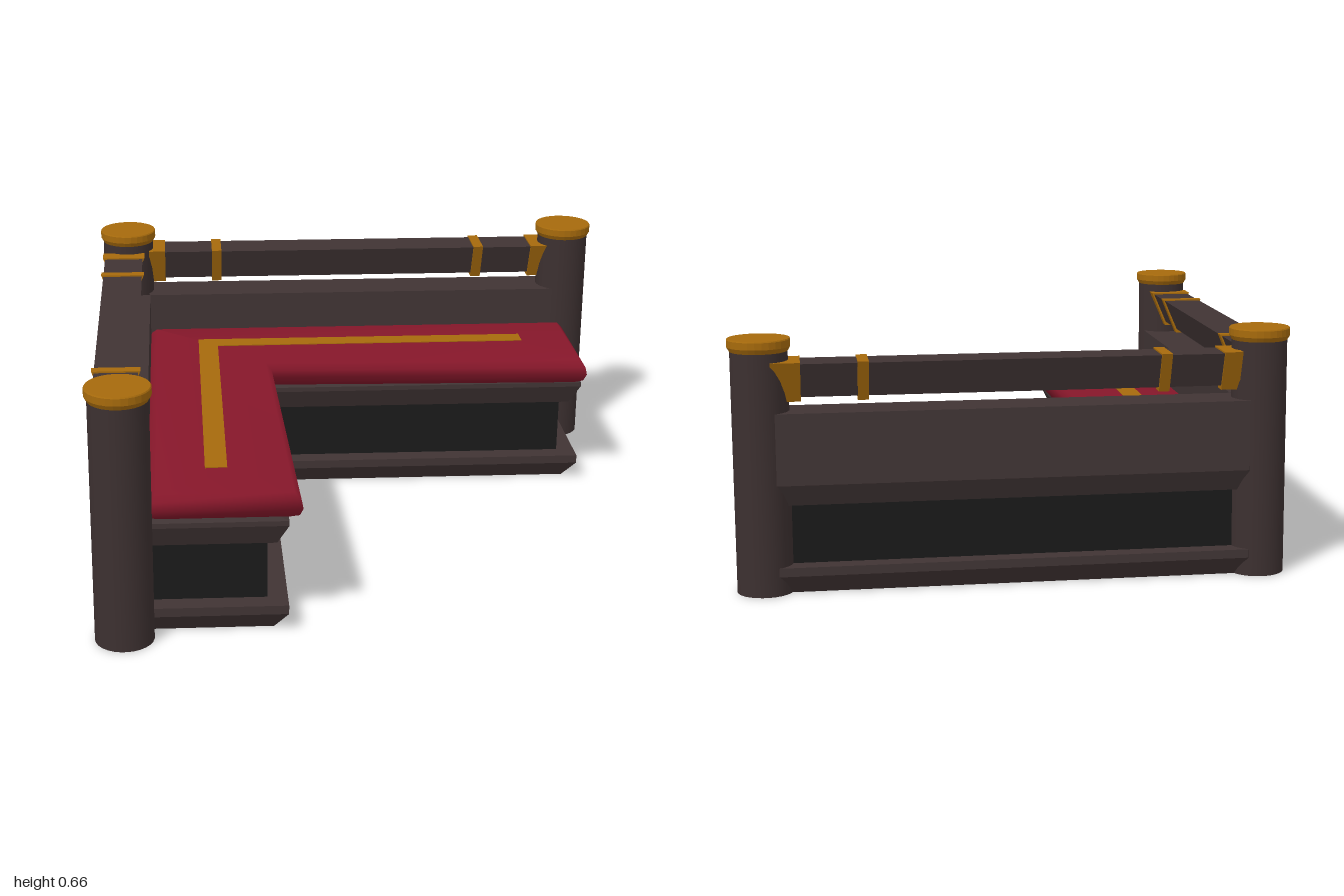
import * as THREE from 'three';

const mat = (color, flatShading = true) =>
  new THREE.MeshStandardMaterial({ color, flatShading, side: THREE.DoubleSide });
const BROWN = mat(0x403434), DARK = mat(0x1a1a1a), GOLD = mat(0xa66a0c);
const RED = mat(0x86172a, false), POST = mat(0x3c3030, false);
const CORNER_Z = -0.575;

function add(parent, name, geometry, material) {
  const mesh = new THREE.Mesh(geometry, material);
  mesh.name = name;
  parent.add(mesh);
  return mesh;
}

function indexed(positions, index) {
  const g = new THREE.BufferGeometry();
  g.setAttribute('position', new THREE.Float32BufferAttribute(positions, 3));
  g.setIndex(index);
  g.computeVertexNormals();
  return g;
}

// Stacks L-shaped outlines; each ring is [inset, height].
// cut trims the outer corner, flare widens the arm ends, capped closes the top.
function loftL({ back, end, front, cut = 0, flare = 0, capped = false }, rings) {
  const pos = [], idx = [], n = 7;
  for (const [d, y] of rings) {
    const b = back + d, e = end - d, f = front - d, tip = f + flare;
    const k = Math.max(b, back + cut + 0.414 * d);
    for (const [u, v] of [[k, b], [e, b], [e, tip], [f, f], [tip, e], [b, e], [b, k]]) pos.push(u, y, v);
  }
  for (let r = 0; r < rings.length - 1; r++) {
    for (let i = 0; i < n; i++) {
      const a = r * n + i, c = r * n + (i + 1) % n;
      idx.push(c, a, a + n, c, a + n, c + n);
    }
  }
  if (capped) {
    const t = (rings.length - 1) * n;
    for (const i of [0, 3, 2, 0, 2, 1, 0, 6, 3, 6, 5, 4, 6, 4, 3]) idx.push(t + i);
  }
  return indexed(pos, idx);
}

// Convex profile of [across, height] run along x; start 'mitre' meets the mirrored
// arm on the diagonal and trims what would stick out behind the corner post
function prism(profile, start, end) {
  const n = profile.length, pos = [], idx = [];
  for (const [v, y] of profile) pos.push(start === 'mitre' ? Math.max(v, -0.028 - v) : start, y, v);
  for (const [v, y] of profile) pos.push(end, y, v);
  for (let i = 0; i < n; i++) {
    const j = (i + 1) % n;
    idx.push(i, n + i, n + j, i, n + j, j);
    if (i > 0 && i < n - 1) idx.push(0, i, i + 1, n, n + i + 1, n + i);
  }
  return indexed(pos, idx);
}

function addPost(parent, x, z) {
  const post = new THREE.Group();
  post.name = 'post';
  post.position.set(x, 0, z);
  add(post, 'postShaft', new THREE.CylinderGeometry(0.073, 0.073, 0.63, 28), POST).position.y = 0.315;
  const profile = [[0, 0.625], [0.073, 0.625], [0.08, 0.637], [0.08, 0.655], [0.078, 0.658], [0, 0.658]]
    .map(([r, y]) => new THREE.Vector2(r, y));
  add(post, 'postCap', new THREE.LatheGeometry(profile, 28), GOLD);
  parent.add(post);
}

// Parts of one bench arm, running along local x from the corner
function createArm() {
  const arm = new THREE.Group();
  add(arm, 'backPanel', prism([[-0.065, 0.287], [0.062, 0.287], [0.062, 0.472], [-0.065, 0.472]], 'mitre', 1.29), BROWN);
  add(arm, 'backRail', prism([[-0.028, 0.508], [0.003, 0.508], [0.042, 0.598], [-0.067, 0.598]], 0.06, 1.28), BROWN);
  const band = [[-0.03, 0.497], [0.005, 0.497], [0.048, 0.602], [-0.073, 0.602]];
  for (const u of [0.26, 1.038]) add(arm, 'railStrap', prism(band, u - 0.014, u + 0.014), GOLD);
  add(arm, 'innerBracket', prism(band, 0.06, 0.108), GOLD);
  add(arm, 'outerBracket', prism(band, 1.195, 1.27), GOLD);
  add(arm, 'cushionStripe', prism([[0.201, 0.37], [0.256, 0.37], [0.256, 0.38], [0.201, 0.38]], 'mitre', 1.14), GOLD);
  arm.rotation.y = -Math.PI / 4;
  arm.position.z = CORNER_Z;
  return arm;
}

export function createModel() {
  const model = new THREE.Group();
  model.name = 'cornerBench';

  // L-shaped base, open underneath
  const seat = new THREE.Group();
  seat.name = 'seat';
  seat.rotation.y = -Math.PI / 4;
  seat.position.z = CORNER_Z;
  model.add(seat);
  const outline = { back: -0.065, end: 1.29, front: 0.4, cut: 0.102 };
  const base = (name, rings, material) => add(seat, name, loftL(outline, rings), material);
  base('plinth', [[0.035, 0], [0, 0.05], [0, 0.073], [0.05, 0.073]], BROWN);
  base('body', [[0.05, 0.073], [0.05, 0.23]], DARK);
  base('seatMoulding', [[0.05, 0.23], [0.028, 0.23], [0, 0.287], [0, 0.3], [0.03, 0.305]], BROWN);

  // Softly crowned cushion
  add(seat, 'cushion', loftL({ back: 0.06, end: 1.298, front: 0.408, flare: 0.025, capped: true },
    [[0.03, 0.302], [0.008, 0.315], [0, 0.335], [0.004, 0.355], [0.02, 0.371], [0.16, 0.378]]), RED);

  // Diagonal floor brace under the corner
  const brace = add(model, 'cornerBrace', prism([[-0.035, 0], [0.035, 0], [0, 0.05]], -0.53, -0.012), BROWN);
  brace.rotation.y = -Math.PI / 2;

  // Mirrored arms and posts
  for (const side of [1, -1]) {
    const half = new THREE.Group();
    half.name = side > 0 ? 'leftArm' : 'rightArm';
    half.scale.x = side;
    half.add(createArm());
    addPost(half, 0.918, 0.341);
    model.add(half);
  }
  addPost(model, 0, CORNER_Z);
  return model;
}
